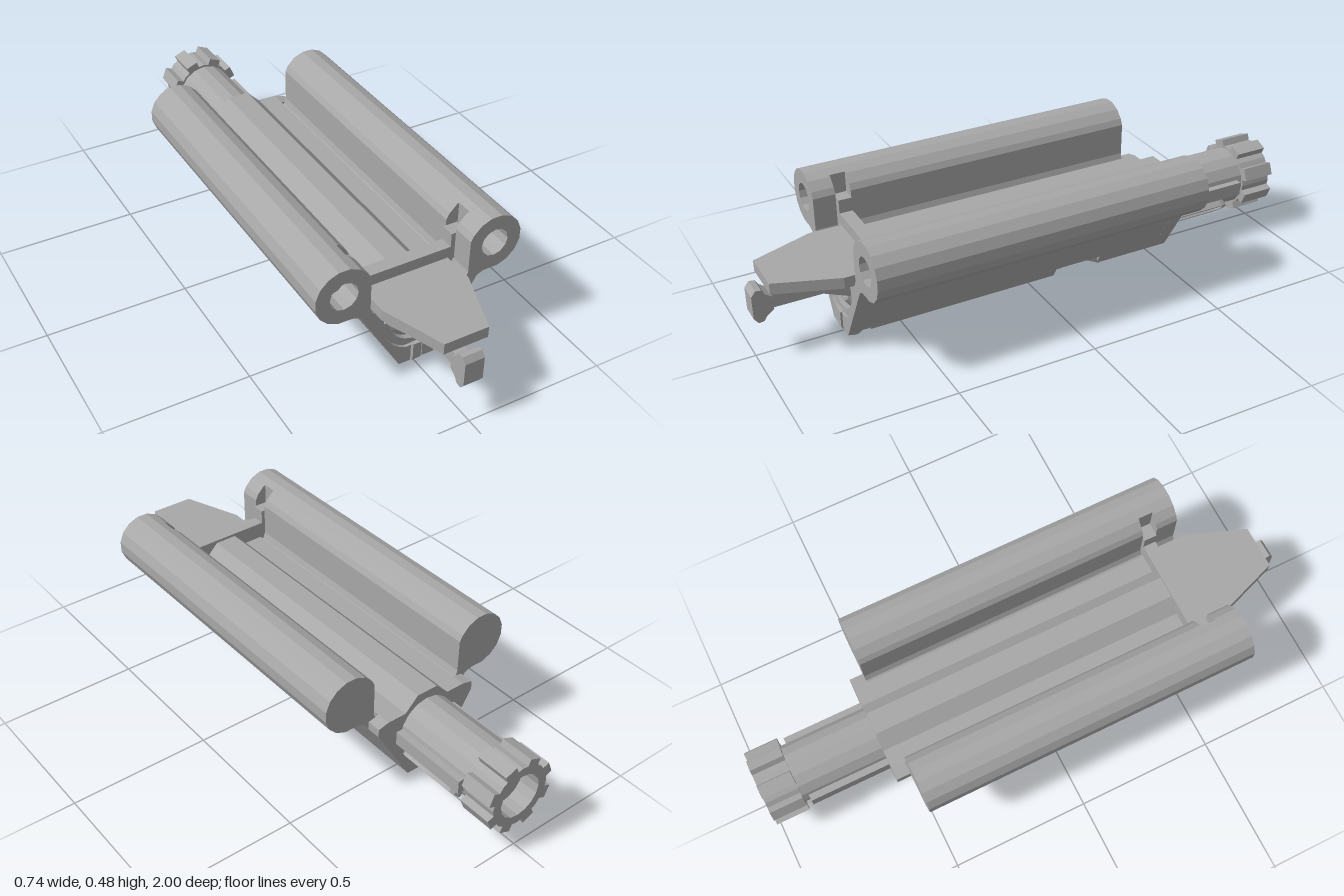
import * as THREE from 'three';

const steel = new THREE.MeshStandardMaterial({ color: 0xa8a8a8, flatShading: true });
steel.name = 'steel grey';

const AXIS = 0.206; // height of the barrel axis
const TUBE = { x: 0.274, y: 0.386, r: 0.1 };

const toShape = (pts) => new THREE.Shape(pts.map(([x, y]) => new THREE.Vector2(x, y)));
const mirrored = (half) => toShape([...half, ...half.map(([x, y]) => [-x, y]).reverse()]);

function arc(cx, cy, r, from, to, n) {
  return Array.from({ length: n + 1 }, (_, i) => {
    const a = THREE.MathUtils.degToRad(from + ((to - from) * i) / n);
    return [cx + r * Math.cos(a), cy + r * Math.sin(a)];
  });
}

function extrude(shape, z0, z1) {
  const g = new THREE.ExtrudeGeometry(shape, { depth: z1 - z0, bevelEnabled: false, curveSegments: 8 });
  return g.translate(0, 0, z0);
}

// Side profile given as [z, y], extruded across x
const extrudeAcross = (pts, x0, x1) => extrude(toShape(pts), -x1, -x0).rotateY(-Math.PI / 2);

// Turned part along z, profile given as [radius, z]
const turned = (pts, n = 16) =>
  new THREE.LatheGeometry(pts.map(([r, z]) => new THREE.Vector2(r, z)), n)
    .rotateX(Math.PI / 2).translate(0, AXIS, 0);

// Cross-section of the housing: V keel, two side tubes, open channel on top
function housingShape({ bottom = 0.02, slot = false, notch = false, bore = false }) {
  const keelX = 0.065 + (bottom - 0.02) * 0.583;
  const half = [];
  if (slot) half.push([0.022, 0.083], [0.022, bottom]);
  half.push([keelX, bottom], [0.205, 0.26], [0.217, 0.278], [0.236, 0.286]);
  half.push(...arc(TUBE.x, TUBE.y, TUBE.r, -101.25, notch ? 101.25 : 146.25, notch ? 9 : 11));
  if (notch) half.push([0.225, 0.472], [0.225, 0.3], [0.18, 0.3]);
  else half.push([0.18, 0.42], [0.18, 0.303]);
  half.push([0.172, 0.28], [0.155, 0.268], [0.128, 0.262]);
  half.push(...arc(0, AXIS, 0.13, 22, slot ? -70 : -90, 8));
  if (!slot) half[half.length - 1][0] = 0.0005;
  else half.push([0.023, 0.084]);
  const shape = mirrored(half);
  if (bore) {
    for (const s of [-1, 1]) {
      const hole = arc(s * TUBE.x, TUBE.y, 0.05, 0, 330, 11);
      shape.holes.push(new THREE.Path(hole.map(([x, y]) => new THREE.Vector2(x, y))));
    }
  }
  return shape;
}

export function createModel() {
  const model = new THREE.Group();
  const add = (name, geometry, parent = model) => {
    const mesh = new THREE.Mesh(geometry, steel);
    mesh.name = name;
    parent.add(mesh);
    return mesh;
  };
  const box = (name, w, h, d, x, y, z) => add(name, new THREE.BoxGeometry(w, h, d).translate(x, y, z));

  // Housing, in lengthwise sections
  add('housingFront', extrude(housingShape({ bore: true, bottom: 0.03 }), 0.62, 0.66));
  add('housingNose', extrude(housingShape({ bore: true, slot: true }), 0.66, 0.7));
  add('housingNotch', extrude(housingShape({ notch: true }), 0.565, 0.62));
  add('housingMiddle', extrude(housingShape({}), -0.09, 0.565));
  add('housingCutout', extrude(housingShape({ bottom: 0.06 }), -0.27, -0.09));
  add('housingRear', extrude(housingShape({}), -0.52, -0.27));

  // Catch inside the underside cutout
  add('catchPost', new THREE.CylinderGeometry(0.04, 0.04, 0.045, 12).translate(0, 0.045, -0.13));
  add('catchBlock', extrudeAcross([[-0.28, 0.02], [-0.2, 0.06], [-0.28, 0.06]], -0.07, 0.07));

  // Inner receiver with a raised ridge, and the end cap behind the tubes
  const ridge = [[0.16, 0.262], [0.16, 0.29], [0.09, 0.29], [0.04, 0.34]];
  add('receiver', extrude(mirrored([...arc(0, AXIS, 0.129, -89, 20, 8), ...ridge]), -0.52, 0.57));
  add('endCap', extrude(mirrored(
    [[0.065, 0.02], [0.2, 0.25], [0.2, 0.28], [0.16, 0.29], [0.09, 0.29], [0.04, 0.34]]), -0.57, -0.52));

  // Cradle and bolt ring at the front
  const cradle = [...arc(0, AXIS, 0.129, -180, 0, 16), ...arc(0, AXIS, 0.103, 0, -180, 16)];
  add('cradle', extrude(toShape(cradle), 0.57, 0.69));
  add('boltRing', turned([[0.103, 0.56], [0.103, 0.67], [0.076, 0.69], [0.066, 0.69], [0.066, 0.62], [0, 0.62]], 20));

  // Cross bar with raised ends sitting in the tube notches
  box('crossBar', 0.44, 0.08, 0.048, 0, 0.31, 0.591);
  for (const s of [-1, 1]) box('crossBarEnd', 0.052, 0.07, 0.048, s * 0.194, 0.365, 0.591);

  // Tapered tongue and its two sloping legs
  const tongue = extrude(mirrored([[0.16, 0.6], [0.16, 0.73], [0.08, 0.95]]), 0, 0.04);
  add('tongue', tongue.rotateX(Math.PI / 2).translate(0, 0.31, 0));
  const leg = [[0.6, 0.205], [0.7, 0.205], [0.86, 0.272], [0.6, 0.272]];
  add('tongueLegLeft', extrudeAcross(leg, 0.075, 0.112));
  add('tongueLegRight', extrudeAcross(leg, -0.112, -0.075));

  // Pull rod with a rounded hammer end
  box('rod', 0.045, 0.05, 0.36, 0, AXIS, 0.78);
  box('rodCrossPin', 0.13, 0.026, 0.04, 0, AXIS, 0.69);
  add('rodEnd', extrudeAcross([
    [0.93, 0.182], [0.955, 0.165], [0.965, 0.148], [0.985, 0.145], [1, 0.165],
    [1, 0.247], [0.985, 0.267], [0.965, 0.264], [0.955, 0.247], [0.93, 0.23]], -0.035, 0.035));

  // Hinge knuckles under the nose
  const knuckle = (name, w, r, x, y) =>
    add(name, new THREE.CylinderGeometry(r, r, w, 14).rotateZ(Math.PI / 2).translate(x, y, 0.67));
  knuckle('hingeCentre', 0.032, 0.035, 0, 0.035);
  box('hingeTab', 0.032, 0.055, 0.05, 0, 0.058, 0.68);
  for (const s of [-1, 1]) knuckle('hingeSide', 0.036, 0.03, s * 0.04, 0.039);

  // Barrel with a hollow muzzle
  add('barrel', turned([[0, -0.93], [0.08, -0.93], [0.08, -1], [0.113, -1], [0.113, -0.88], [0.105, -0.88], [0.105, -0.56]]));

  // Radial details on the barrel, built pointing along +x and turned into place
  const radial = (name, geometry, degrees) => {
    const pivot = new THREE.Group();
    pivot.name = name + 'Mount';
    pivot.position.y = AXIS;
    pivot.rotation.z = THREE.MathUtils.degToRad(degrees);
    add(name, geometry, pivot);
    model.add(pivot);
  };
  for (let i = 0; i < 8; i++) {
    radial('muzzleTooth', new THREE.BoxGeometry(0.045, 0.046, 0.12).translate(0.111, 0, -0.94), 22.5 + i * 45);
  }
  for (const a of [0, 180]) {
    radial('barrelRib', new THREE.BoxGeometry(0.03, 0.05, 0.3).translate(0.109, 0, -0.71), a);
  }
  // Raised rounded frames around the barrel slots
  const stadium = (halfLength, r) => [...arc(halfLength, 0, r, -90, 90, 6), ...arc(-halfLength, 0, r, 90, 270, 6)];
  for (const a of [-45, -90, -135]) {
    const frame = toShape(stadium(0.09, 0.036));
    frame.holes.push(new THREE.Path(stadium(0.09, 0.024).map(([x, y]) => new THREE.Vector2(x, y))));
    radial('slotFrame', extrude(frame, 0, 0.03).rotateY(Math.PI / 2).translate(0.092, 0, -0.7), a);
  }
  return model;
}
